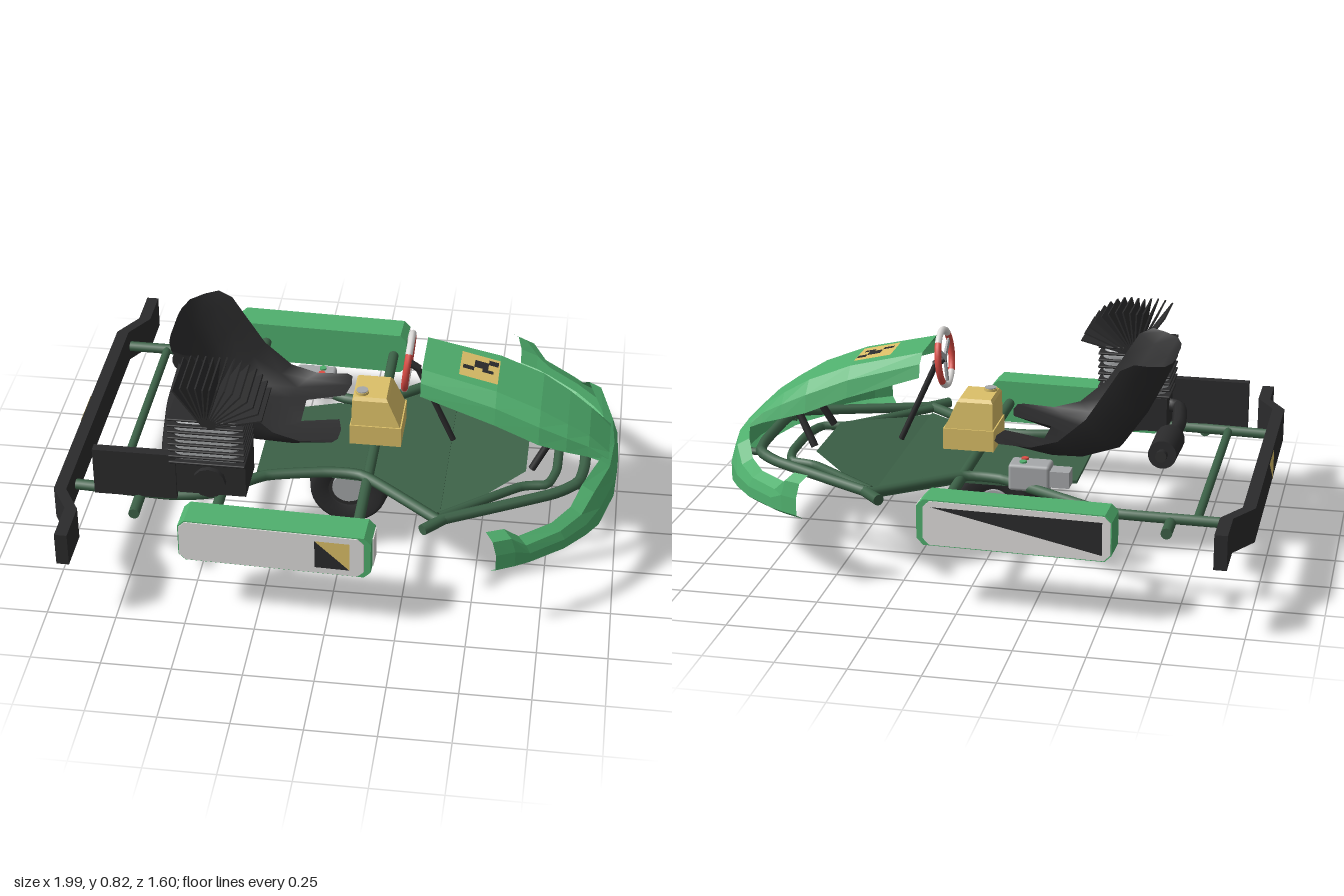
import * as THREE from 'three';
import { RoundedBoxGeometry } from 'three/addons/geometries/RoundedBoxGeometry.js';

const make = (name, color) => {
  const m = new THREE.MeshStandardMaterial({ color, side: THREE.DoubleSide });
  m.name = name;
  return m;
};

export function createModel() {
  const kart = new THREE.Group();
  kart.name = 'kart';
  const green = make('body green', 0x50b06e);
  const frameGreen = make('frame green', 0x3c6147);
  const black = make('black plastic', 0x2b2b2c);
  const white = make('white panel', 0xe0dedc);
  const yellow = make('yellow', 0xdcc068);
  const red = make('red grip', 0xdc4c44);
  const grey = make('metal grey', 0xa6a8aa);

  const V = (p) => new THREE.Vector3(...p);
  const add = (name, geo, mat, pos = [0, 0, 0], parent = kart) => {
    const mesh = new THREE.Mesh(geo, mat);
    mesh.name = name;
    mesh.position.set(...pos);
    parent.add(mesh);
    return mesh;
  };
  const box = (name, mat, x0, x1, y0, y1, z0, z1, parent) =>
    add(name, new THREE.BoxGeometry(x1 - x0, y1 - y0, z1 - z0), mat,
      [(x0 + x1) / 2, (y0 + y1) / 2, (z0 + z1) / 2], parent);
  const tube = (name, mat, pts, r = 0.02) => {
    const curve = new THREE.CatmullRomCurve3(pts.map(V), false, 'catmullrom', 0.25);
    return add(name, new THREE.TubeGeometry(curve, pts.length * 7, r, 8), mat);
  };
  // straight rod with closed ends
  const rod = (name, mat, a, b, r = 0.02, r2 = r, sides = 12) => {
    const d = V(b).sub(V(a));
    const mesh = add(name, new THREE.CylinderGeometry(r2, r, d.length(), sides), mat);
    mesh.position.copy(V(a).addScaledVector(d, 0.5));
    mesh.quaternion.setFromUnitVectors(new THREE.Vector3(0, 1, 0), d.normalize());
    return mesh;
  };
  // surface through rows of points
  const loft = (name, mat, rows, flat = true) => {
    const n = rows[0].length, index = [];
    for (let i = 0; i < rows.length - 1; i++)
      for (let j = 0; j < n - 1; j++) {
        const a = i * n + j;
        index.push(a, a + 1, a + n, a + 1, a + n + 1, a + n);
      }
    let geo = new THREE.BufferGeometry();
    geo.setAttribute('position', new THREE.Float32BufferAttribute(rows.flat(2), 3));
    geo.setIndex(index);
    if (flat) geo = geo.toNonIndexed();
    geo.computeVertexNormals();
    return add(name, geo, mat);
  };
  // thin flat polygon
  const plate = (name, mat, pts, parent) => {
    const geo = new THREE.BufferGeometry().setFromPoints(pts.map(V));
    const index = [];
    for (let i = 1; i < pts.length - 1; i++) index.push(0, i, i + 1);
    geo.setIndex(index);
    geo.computeVertexNormals();
    return add(name, geo, mat, [0, 0, 0], parent);
  };
  // plan outline [x, z] raised from y to y + h
  const slab = (name, mat, outline, y, h) => {
    const shape = new THREE.Shape(outline.map(([x, z]) => new THREE.Vector2(x, -z)));
    const geo = new THREE.ExtrudeGeometry(shape, { depth: h, bevelEnabled: false });
    return add(name, geo.rotateX(-Math.PI / 2), mat, [0, y, 0]);
  };

  // single centre wheel
  const tyre = [[0.075, -0.1], [0.125, -0.118], [0.143, -0.1], [0.152, -0.05], [0.152, 0.05],
    [0.143, 0.1], [0.125, 0.118], [0.075, 0.1]].map((p) => new THREE.Vector2(...p));
  add('tyre', new THREE.LatheGeometry(tyre, 36).rotateX(Math.PI / 2), black, [0, 0.155, -0.02]);
  rod('wheelRim', black, [0, 0.16, -0.115], [0, 0.16, 0.075], 0.078, 0.078, 24);
  rod('wheelHub', grey, [0, 0.168, -0.13], [0, 0.168, 0.09], 0.06, 0.06, 24);

  // frame rails and loops
  tube('rightRail', frameGreen, [[-0.95, 0.33, -0.53], [-0.53, 0.33, -0.52], [-0.4, 0.33, -0.47],
    [-0.18, 0.33, -0.34], [-0.06, 0.33, -0.27], [0.08, 0.33, -0.27], [0.37, 0.33, -0.5]]);
  tube('leftRail', frameGreen, [[-0.95, 0.33, 0.41], [-0.6, 0.33, 0.43], [-0.45, 0.33, 0.4],
    [-0.28, 0.33, 0.27], [-0.06, 0.33, 0.22], [0.08, 0.33, 0.23], [0.37, 0.33, 0.46]]);
  const loop = (pts) => [...pts.map(([x, y, z]) => [x, y, -z - 0.02]),
    ...pts.slice().reverse().map(([x, y, z]) => [x, y, z - 0.02])];
  tube('frontOuterLoop', frameGreen, loop([[0.37, 0.33, 0.48], [0.76, 0.35, 0.3], [0.85, 0.36, 0.23], [0.87, 0.36, 0.12]]));
  tube('frontInnerLoop', frameGreen, loop([[0.37, 0.33, 0.46], [0.64, 0.32, 0.23], [0.74, 0.32, 0.2], [0.77, 0.32, 0.1]]), 0.017);
  rod('rearCrossBar', frameGreen, [-0.8, 0.33, -0.52], [-0.8, 0.33, 0.42], 0.016);
  rod('frontPodBar', frameGreen, [0.09, 0.32, -0.66], [0.09, 0.32, 0.62]);
  for (const [z0, z1] of [[-0.66, -0.48], [0.38, 0.62]]) rod('rearPodBar', frameGreen, [-0.42, 0.33, z0], [-0.42, 0.33, z1]);
  for (const [z0, z1] of [[-0.645, -0.53], [0.42, 0.55]]) rod('rearStub', frameGreen, [-0.71, 0.32, z0], [-0.71, 0.32, z1]);
  for (const s of [-1, 1]) {
    rod('steeringStub', frameGreen, [0.39, 0.33, s * 0.47 - 0.02], [0.32, 0.33, s * 0.545 - 0.02]);
    rod('cowlStrut', black, [0.68, 0.35, s * 0.13], [0.76, 0.5, s * 0.1], 0.014);
    rod('noseMount', frameGreen, [0.85, 0.34, s * 0.2], [0.95, 0.34, s * 0.2], 0.014);
  }

  // floor pan with raised toe section
  slab('floorPan', frameGreen, [[-0.32, -0.18], [-0.08, -0.26], [0.08, -0.26], [0.37, -0.48],
    [0.37, 0.44], [0.08, 0.22], [-0.08, 0.21], [-0.32, 0.22]], 0.3, 0.012);
  plate('toePan', frameGreen, [[0.37, 0.306, -0.48], [0.66, 0.35, -0.18], [0.66, 0.35, 0.15], [0.37, 0.306, 0.44]]);

  // rear bumper
  const bar = [[-0.935, -0.8], [-0.935, -0.64], [-1, -0.53], [-1, 0.53], [-0.935, 0.64], [-0.935, 0.8]];
  slab('rearBumper', black, [...bar, ...bar.slice().reverse().map(([x, z]) => [x + 0.045, z])], 0.268, 0.125);
  plate('rearBumperMark', yellow, [[-1.003, 0.39, -0.08], [-1.003, 0.39, 0.09], [-1.003, 0.27, 0.09]]);

  // side pods with chamfered ends and outer panels
  for (const [s, x, z] of [[1, -0.18, 0.64], [-1, -0.2, -0.68]]) {
    const pod = new THREE.Group();
    pod.name = s > 0 ? 'leftSidePod' : 'rightSidePod';
    pod.position.set(x, 0.327, z);
    pod.rotation.y = -0.035;
    kart.add(pod);
    const outline = (w, h, c) => new THREE.Shape([[-w + c, -h], [w - c, -h], [w, -h + c], [w, h - c],
      [w - c, h], [-w + c, h], [-w, h - c], [-w, -h + c]].map((p) => new THREE.Vector2(...p)));
    add('podBody', new THREE.ExtrudeGeometry(outline(0.342, 0.084, 0.024), { depth: 0.116, bevelEnabled: false }), green, [0, 0, -0.058], pod);
    add('podPanel', new THREE.ExtrudeGeometry(outline(0.328, 0.08, 0.022), { depth: 0.004, bevelEnabled: false }), white,
      [-0.01, 0, s > 0 ? 0.058 : -0.062], pod);
    box('podEndPanel', white, 0.342, 0.346, -0.058, 0.058, -0.05, 0.02, pod);
    const f = s * 0.0645;
    if (s > 0) {
      plate('podBlackMark', black, [[0.145, 0.058, f], [0.145, -0.055, f], [0.268, -0.055, f]], pod);
      plate('podYellowMark', yellow, [[0.145, 0.058, f], [0.268, -0.055, f], [0.268, 0.058, f]], pod);
    } else plate('podBlackMark', black, [[0.29, 0.06, f], [-0.31, 0.06, f], [-0.31, -0.06, f]], pod);
  }

  // curved nose bumper: [z, outer x, top y, bottom y, depth]
  const half = [[0, 0.99, 0.425, 0.255, 0.05], [0.155, 0.982, 0.428, 0.255, 0.06], [0.34, 0.935, 0.44, 0.257, 0.07],
    [0.41, 0.892, 0.39, 0.258, 0.06], [0.5, 0.82, 0.378, 0.26, 0.05], [0.6, 0.705, 0.38, 0.265, 0.045],
    [0.635, 0.655, 0.43, 0.268, 0.045], [0.67, 0.59, 0.435, 0.27, 0.04]];
  const stations = [...half.slice(1).reverse().map(([z, ...r]) => [-z, ...r]), ...half];
  loft('noseBumper', green, stations.map(([z, x, t, b, d]) => {
    const k = 1 - 0.05 * Math.abs(z);
    return [[x - d, t, z * k], [x - d * 0.35, t - 0.025, z], [x, b + (t - b) * 0.5, z], [x, b + 0.02, z], [x - d * 0.5, b, z * k]];
  }));

  // front cowl: [x, top y, half width, side y]
  loft('frontCowl', green, [[0.27, 0.735, 0.165, 0.655], [0.54, 0.67, 0.182, 0.565], [0.7, 0.605, 0.183, 0.495],
    [0.8, 0.545, 0.165, 0.46], [0.88, 0.49, 0.14, 0.43], [0.955, 0.418, 0.125, 0.395]].map(([x, t, w, b]) =>
    [[-1, b], [-0.92, t - (t - b) * 0.4], [-0.66, t], [0.66, t], [0.92, t - (t - b) * 0.4], [1, b]].map(([u, y]) => [x, y, u * w + 0.005])));
  const mark = (name, mat, x0, x1, z0, z1, lift) => plate(name, mat,
    [[x0, z0], [x0, z1], [x1, z1], [x1, z0]].map(([x, z]) => [x, 0.735 - 0.241 * (x - 0.27) + lift, z]));
  mark('cowlMark', yellow, 0.4, 0.54, -0.07, 0.085, 0.004);
  for (const [a, b, c, d] of [[0.45, 0.5, -0.03, 0.015], [0.41, 0.45, 0.015, 0.04], [0.5, 0.535, -0.05, -0.02], [0.48, 0.52, 0.015, 0.035]])
    mark('cowlMarkSquare', black, a, b, c, d, 0.007);

  // seat: rows of [centre x, y, side x, y], thigh supports split at the front
  loft('seat', black, [[-0.18, 0.43, -0.02, 0.46], [-0.25, 0.4, -0.16, 0.45], [-0.36, 0.395, -0.26, 0.48], [-0.47, 0.43, -0.36, 0.57],
    [-0.56, 0.56, -0.43, 0.68], [-0.62, 0.68, -0.48, 0.76], [-0.655, 0.765, -0.53, 0.785]].map(([cx, cy, sx, sy], i) => {
    const prof = i === 0 ? [[0.07, 0], [0.08, 0.9], [0.15, 1], [0.21, 0.97], [0.23, 0.85]]
      : [[0.07, 0], [0.12, 0.04], [0.18, 0.2], [0.215, 0.6], [0.23, 1]];
    const at = ([z, k]) => [cx + (sx - cx) * k, cy + (sy - cy) * k, z - 0.02];
    return [...prof.slice().reverse().map(([z, k]) => at([-z, k])), ...prof.map(at)];
  }), false);

  // fuel tank
  box('tankBase', yellow, 0.005, 0.195, 0.37, 0.45, -0.11, 0.085);
  const ring = (x0, x1, y, z0, z1) => [[x0, y, z0], [x0, y, z1], [x1, y, z1], [x1, y, z0], [x0, y, z0]];
  loft('tankTop', yellow, [ring(0.01, 0.19, 0.45, -0.105, 0.08), ring(0.012, 0.145, 0.55, -0.095, 0.07),
    ring(0.02, 0.137, 0.562, -0.085, 0.06), ring(0.08, 0.08, 0.562, -0.01, -0.01)]);
  rod('tankCapNeck', yellow, [0.045, 0.555, 0.03], [0.045, 0.572, 0.03], 0.025);
  rod('tankCap', grey, [0.045, 0.57, 0.03], [0.045, 0.575, 0.03], 0.022);

  // steering wheel in red and white quarters, with column
  const wheel = new THREE.Group();
  wheel.name = 'steeringWheel';
  wheel.position.set(0.21, 0.69, -0.005);
  wheel.rotation.set(0, Math.PI / 2, -0.1, 'ZYX');
  kart.add(wheel);
  for (let i = 0; i < 4; i++) {
    const arc = add(i % 2 ? 'wheelWhiteArc' : 'wheelGrip', new THREE.TorusGeometry(0.102, 0.013, 8, 10, Math.PI / 2), i % 2 ? white : red, [0, 0, 0], wheel);
    arc.rotation.z = -Math.PI / 4 + i * Math.PI / 2;
  }
  for (const a of [0, 2.1, 4.2]) {
    const spoke = add('wheelSpoke', new THREE.BoxGeometry(0.1, 0.02, 0.008).translate(0.05, 0, 0), grey, [0, 0, 0], wheel);
    spoke.rotation.z = a - Math.PI / 2;
  }
  rod('steeringColumn', black, [0.21, 0.685, -0.005], [0.25, 0.66, -0.005], 0.014);
  rod('steeringShaft', black, [0.24, 0.67, -0.005], [0.38, 0.36, -0.005], 0.011);

  // engine: crankcase, finned barrel and radial head fins
  box('crankcase', black, -0.58, -0.32, 0.36, 0.49, 0.27, 0.45);
  rod('engineCover', black, [-0.45, 0.42, 0.43], [-0.45, 0.42, 0.47], 0.06);
  add('barrel', new RoundedBoxGeometry(0.25, 0.19, 0.19, 3, 0.04), grey, [-0.455, 0.585, 0.365]);
  for (let i = 0; i < 8; i++)
    add('barrelFin', new RoundedBoxGeometry(0.275, 0.009, 0.212, 2, 0.004), black, [-0.455, 0.5 + i * 0.026, 0.365]);
  for (let i = 0; i < 14; i++) {
    const a = THREE.MathUtils.degToRad(14 + i * 8.6);
    const len = 0.15 + 0.05 * Math.abs(Math.cos(a));
    const fin = add('headFin', new THREE.BoxGeometry(len, 0.006, 0.215).translate(len / 2 + 0.01, 0, 0), black, [-0.455, 0.655, 0.365]);
    fin.rotation.z = a;
  }
  box('chainGuard', black, -0.87, -0.57, 0.335, 0.523, 0.425, 0.46);

  // exhaust
  rod('muffler', black, [-0.655, 0.5, -0.19], [-0.655, 0.51, -0.39], 0.053, 0.05, 18);
  rod('mufflerTip', black, [-0.655, 0.51, -0.38], [-0.655, 0.515, -0.425], 0.02);
  tube('exhaustPipe', black, [[-0.655, 0.5, -0.2], [-0.655, 0.47, 0.05], [-0.62, 0.44, 0.33], [-0.55, 0.44, 0.37]], 0.026);

  // control box beside the seat
  add('controlBox', new RoundedBoxGeometry(0.15, 0.1, 0.09, 2, 0.012), grey, [-0.175, 0.37, -0.31]);
  box('controlBoxRear', grey, -0.32, -0.24, 0.34, 0.4, -0.345, -0.28);
  rod('greenButton', green, [-0.15, 0.415, -0.325], [-0.15, 0.427, -0.325], 0.013);
  rod('redButton', red, [-0.15, 0.415, -0.29], [-0.15, 0.427, -0.29], 0.013);
  return kart;
}
